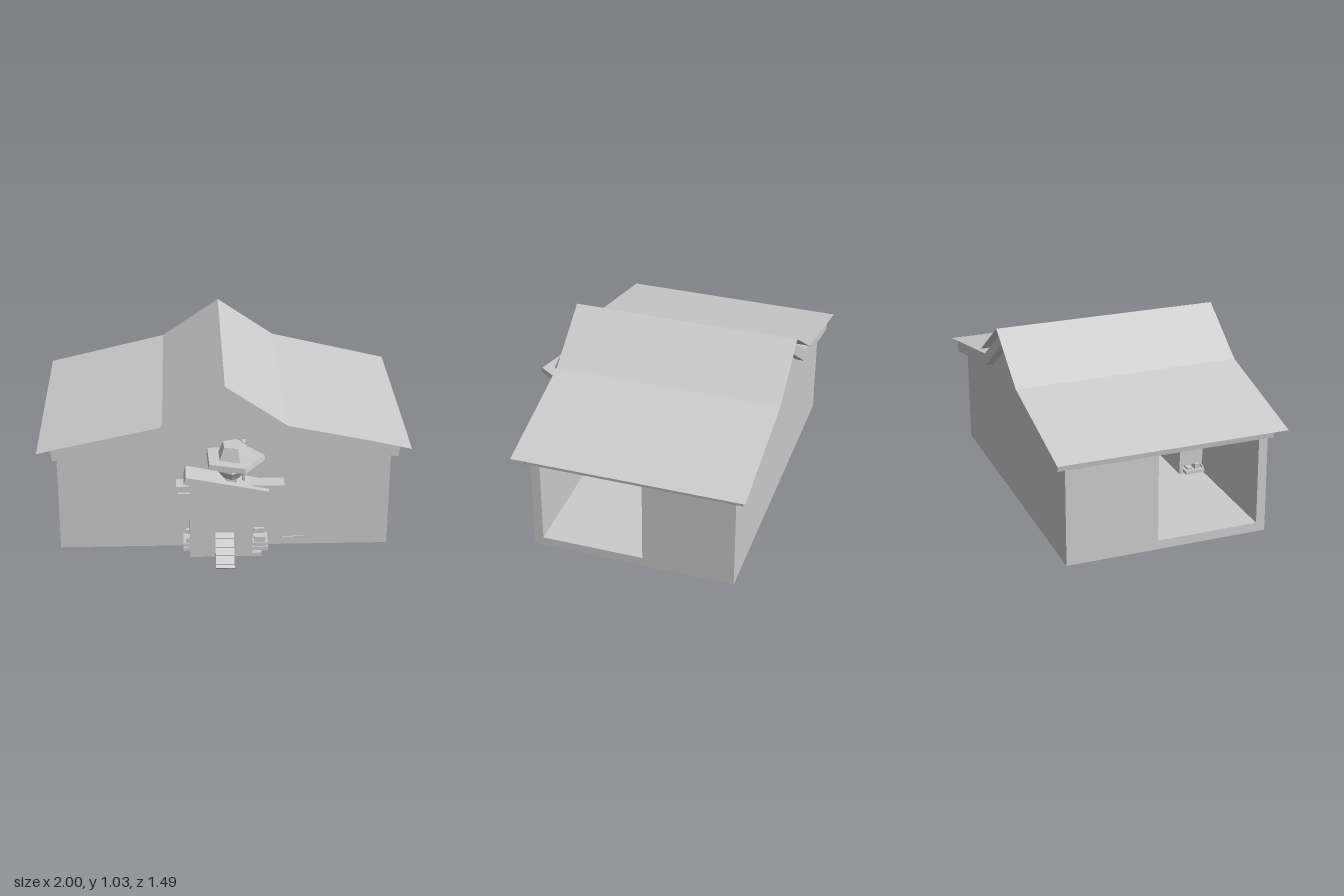
import * as THREE from 'three';

const mat = new THREE.MeshStandardMaterial({ color: 0xcccccc, flatShading: true });
const thin = new THREE.MeshStandardMaterial({ color: 0xcccccc, flatShading: true, side: THREE.DoubleSide });

function add(parent, name, geometry, material = mat) {
  const mesh = new THREE.Mesh(geometry, material);
  mesh.name = name;
  parent.add(mesh);
  return mesh;
}

// Box given by its limits on each axis
function box(parent, name, x0, x1, y0, y1, z0, z1) {
  const mesh = add(parent, name, new THREE.BoxGeometry(x1 - x0, y1 - y0, z1 - z0));
  mesh.position.set((x0 + x1) / 2, (y0 + y1) / 2, (z0 + z1) / 2);
  return mesh;
}

// Outline in x and y, pushed from z0 to z1
function slab(parent, name, points, z0, z1, hole) {
  const shape = new THREE.Shape(points.map(p => new THREE.Vector2(...p)));
  if (hole) shape.holes.push(new THREE.Path(hole.map(p => new THREE.Vector2(...p))));
  const mesh = add(parent, name, new THREE.ExtrudeGeometry(shape, { depth: z1 - z0, bevelEnabled: false }));
  mesh.position.z = z0;
  return mesh;
}

function group(parent, name) {
  const g = new THREE.Group();
  g.name = name;
  parent.add(g);
  return g;
}

function buildHouse(root) {
  const house = group(root, 'house');
  const gable = [[-0.9, 0.03], [0.9, 0.03], [0.9, 0.58], [0.33, 0.697], [0, 0.935], [-0.33, 0.697], [-0.9, 0.58]];
  slab(house, 'frontWall', gable, 0.4, 0.45);
  slab(house, 'backWall', gable, -0.67, -0.62);
  box(house, 'floor', -0.9, 0.9, 0.03, 0.08, -0.62, 0.4);
  for (const s of [-1, 1]) {
    const wall = box(house, 'sideWall', -0.025, 0.025, 0.08, 0.58, -0.62, -0.165);
    wall.position.x = s * 0.875;
  }

  // Bent roof core under the covering
  slab(house, 'roofCore', [
    [-0.92, 0.575], [-0.33, 0.697], [0, 0.935], [0.33, 0.697], [0.935, 0.575],
    [0.945, 0.638], [0.34, 0.765], [0, 1.0], [-0.34, 0.765], [-0.93, 0.638],
  ], -0.717, 0.475);

  // Thin covering sheets
  const profile = [[-1, 0.64], [-0.33, 0.8], [0, 1.027], [0.33, 0.8], [1, 0.64]];
  for (let i = 0; i < 4; i++) {
    const [x0, y0] = profile[i], [x1, y1] = profile[i + 1];
    const sheet = add(house, 'roofSheet', new THREE.PlaneGeometry(Math.hypot(x1 - x0, y1 - y0), 1.26).rotateX(-Math.PI / 2), thin);
    sheet.position.set((x0 + x1) / 2, (y0 + y1) / 2, -0.112);
    sheet.rotation.z = Math.atan2(y1 - y0, x1 - x0);
  }

  // Small chest with a carrying frame, inside
  const chest = group(house, 'chest');
  box(chest, 'chestBody', -0.1, 0.1, 0.08, 0.163, -0.163, -0.05);
  for (const z of [-0.155, -0.07]) box(chest, 'framePost', -0.01, 0.01, 0.163, 0.23, z, z + 0.012);
  box(chest, 'frameBar', -0.01, 0.01, 0.218, 0.23, -0.155, -0.058);
  box(house, 'groundStrip', 0.31, 0.44, 0.072, 0.08, 0.44, 0.456);
}

function buildCoop(root) {
  const coop = group(root, 'coop');
  const front = [[-0.19, 0.04], [0.15, 0.04], [0.15, 0.43], [-0.19, 0.495]];
  const door = [[-0.05, 0.07], [0.04, 0.07], [0.04, 0.3], [-0.05, 0.3]];
  slab(coop, 'coopFront', front, 0.565, 0.59, door);
  slab(coop, 'coopBack', front, 0.26, 0.28);
  box(coop, 'coopLeftWall', 0.13, 0.15, 0.13, 0.43, 0.28, 0.565);
  box(coop, 'coopRightWall', -0.19, -0.17, 0.13, 0.485, 0.28, 0.565);
  box(coop, 'coopFloor', -0.19, 0.2, 0.035, 0.055, 0.28, 0.585);
  box(coop, 'footPlate', -0.085, 0.085, 0, 0.035, 0.34, 0.51);
  slab(coop, 'coopRoof', [[-0.22, 0.485], [0.23, 0.395], [0.235, 0.435], [-0.21, 0.525]], 0.26, 0.592);

  // Perch slats reaching out on both sides
  box(coop, 'perchSlat', -0.26, 0.32, 0.42, 0.455, 0.47, 0.56);
  box(coop, 'perchSlat', -0.25, 0.24, 0.39, 0.405, 0.46, 0.55);
  box(coop, 'perchEnd', 0.21, 0.32, 0.39, 0.455, 0.545, 0.56);

  // Slatted trays at the foot of both sides
  for (const x of [-0.18, 0.19]) {
    const tray = group(coop, 'tray');
    for (const y of [0.06, 0.088]) box(tray, 'rail', x - 0.045, x + 0.045, y, y + 0.02, 0.285, 0.565);
    for (let i = 0; i < 6; i++) {
      const z = 0.3 + i * 0.046;
      box(tray, 'trayBlock', x - 0.03, x + 0.03, 0.06, 0.12 + (i % 2) * 0.018, z, z + 0.03);
    }
  }

  // Ramp with cross slats
  const ramp = group(coop, 'ramp');
  ramp.position.set(-0.003, 0.118, 0.664);
  ramp.rotation.x = Math.atan2(0.13, 0.15);
  box(ramp, 'rampBoard', -0.05, 0.05, -0.007, 0.007, -0.1, 0.1);
  for (let i = 0; i < 4; i++) box(ramp, 'rampSlat', -0.05, 0.05, 0.007, 0.016, -0.075 + i * 0.048, -0.063 + i * 0.048);
}

function buildScarecrow(root) {
  const figure = group(root, 'scarecrowHead');
  figure.position.set(0.045, 0, 0.55);

  // Faceted head narrowing to the chin
  const head = add(figure, 'head', new THREE.LatheGeometry(
    [[0, 0.49], [0.045, 0.51], [0.083, 0.56], [0.07, 0.61], [0, 0.61]].map(p => new THREE.Vector2(...p)), 6));
  head.position.x = -0.01;

  // Five-sided hat, turned a little
  const hat = group(figure, 'hat');
  hat.rotation.y = 0.35;
  const brim = add(hat, 'hatBrim', new THREE.CylinderGeometry(0.165, 0.17, 0.028, 5));
  brim.position.y = 0.617;
  const crown = add(hat, 'hatCrown', new THREE.CylinderGeometry(0.065, 0.095, 0.07, 5));
  crown.position.y = 0.665;
  const feather = box(figure, 'feather', 0.05, 0.065, 0.46, 0.71, -0.05, -0.02);
  feather.rotation.x = 0.12;

  // Straw fanning out behind the head
  for (let i = 0; i < 6; i++) {
    const straw = add(figure, 'straw', new THREE.BoxGeometry(0.014, 0.13, 0.035).translate(0, -0.075, 0));
    straw.position.set(-0.05 + (i % 3) * 0.05, 0.6, -0.11);
    straw.rotation.x = -0.6 + i * 0.33;
  }
  box(figure, 'neck', -0.04, 0.02, 0.4, 0.52, -0.06, 0);
}

export function createModel() {
  const root = new THREE.Group();
  root.name = 'gabledBarn';
  buildHouse(root);
  buildCoop(root);
  buildScarecrow(root);
  return root;
}
